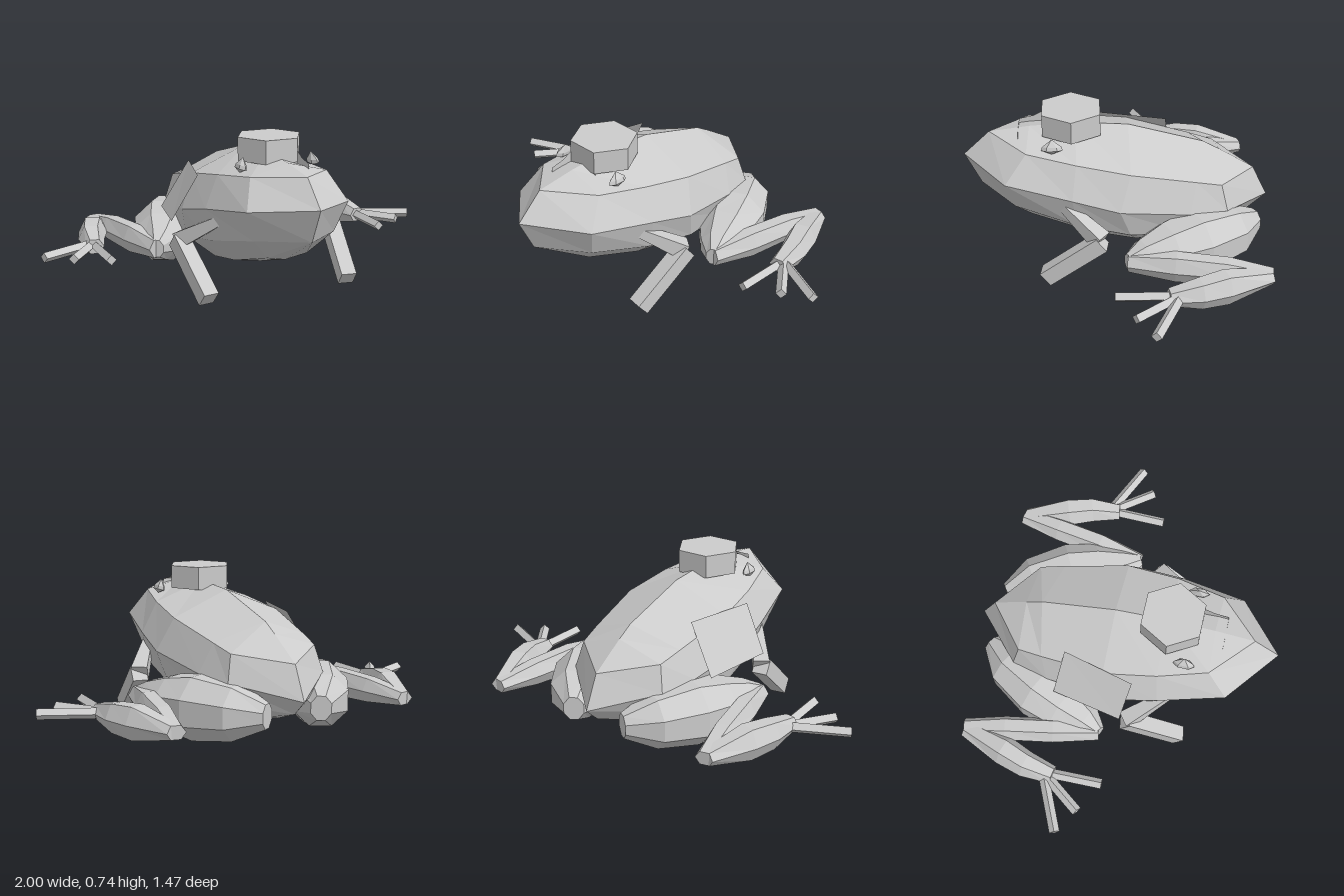
import * as THREE from 'three';

const mat = new THREE.MeshStandardMaterial({ color: 0xcccccc, flatShading: true });
const thinMat = new THREE.MeshStandardMaterial({ color: 0xcccccc, flatShading: true, side: THREE.DoubleSide });

// Skin a list of equal-sized rings (Vector3 arrays, counter-clockwise about the direction of travel)
function loft(rings) {
  const pos = [];
  const tri = (...pts) => pts.forEach((p) => pos.push(p.x, p.y, p.z));
  const n = rings[0].length;
  for (let k = 0; k < rings.length - 1; k++) {
    const a = rings[k], b = rings[k + 1];
    for (let i = 0; i < n; i++) {
      const j = (i + 1) % n;
      tri(a[i], a[j], b[j]);
      tri(a[i], b[j], b[i]);
    }
  }
  const first = rings[0], last = rings[rings.length - 1];
  for (let i = 1; i < n - 1; i++) {
    tri(first[0], first[i + 1], first[i]);
    tri(last[0], last[i], last[i + 1]);
  }
  const g = new THREE.BufferGeometry();
  g.setAttribute('position', new THREE.Float32BufferAttribute(pos, 3));
  g.computeVertexNormals();
  return g;
}

// Limb along stations [x, y, z, half width, half height]; s mirrors it in x
function limb(stations, sides, s, phase = 0) {
  const c = stations.map(([x, y, z]) => new THREE.Vector3(x * s, y, z));
  const up = new THREE.Vector3(0, 1, 0);
  return loft(c.map((p, k) => {
    const d = c[Math.min(k + 1, c.length - 1)].clone().sub(c[Math.max(k - 1, 0)]).normalize();
    const u = up.clone().cross(d).normalize();
    const v = d.clone().cross(u);
    const [, , , w, h] = stations[k];
    return Array.from({ length: sides }, (_, i) => {
      const t = phase + (i / sides) * Math.PI * 2;
      return p.clone().addScaledVector(u, w * Math.cos(t)).addScaledVector(v, h * Math.sin(t));
    });
  }));
}

// Half section (top, upper side, flank, lower side, belly edge, belly) mirrored to a full ring
function bodyRing(half) {
  const right = half.map((p) => new THREE.Vector3(...p));
  const left = half.slice(1, -1).reverse().map(([x, y, z]) => new THREE.Vector3(-x, y, z));
  return [...right, ...left];
}

export function createModel() {
  const root = new THREE.Group();
  root.name = 'frog';
  const add = (name, geometry, parent = root, material = mat) => {
    const m = new THREE.Mesh(geometry, material);
    m.name = name;
    parent.add(m);
    return m;
  };

  // Body, from wedge-shaped snout to wedge-shaped rump
  add('body', loft([
    [[0, .63, .61], [0, .63, .61], [0, .51, .735], [0, .35, .66], [0, .35, .66], [0, .35, .66]],
    [[0, .655, .42], [.19, .61, .43], [.25, .48, .53], [.2, .335, .49], [.1, .225, .42], [0, .2, .4]],
    [[0, .67, .2], [.25, .58, .2], [.32, .43, .22], [.28, .27, .2], [.14, .14, .14], [0, .115, .13]],
    [[0, .655, -.05], [.28, .54, -.05], [.35, .38, 0], [.31, .23, -.05], [.15, .1, -.08], [0, .08, -.08]],
    [[0, .555, -.41], [.24, .47, -.36], [.3, .33, -.33], [.26, .2, -.33], [.14, .11, -.35], [0, .09, -.35]],
    [[0, .51, -.49], [.22, .44, -.48], [.25, .315, -.51], [.2, .21, -.5], [.1, .145, -.52], [0, .13, -.52]],
    [[0, .405, -.66], [0, .405, -.66], [0, .25, -.735], [0, .18, -.66], [0, .18, -.66], [0, .18, -.66]],
  ].map(bodyRing)));

  // Cap with a low brim that flares onto the head
  const cap = new THREE.Group();
  cap.name = 'cap';
  root.add(cap);
  const crown = add('crown', new THREE.CylinderGeometry(.157, .157, .11, 6).rotateY(Math.PI / 6), cap);
  crown.position.set(0, .695, .22);
  const brim = (z, w, y) => [[w, .62], [w, y], [-w, y], [-w, .62]]
    .map(([x, yy]) => new THREE.Vector3(x, yy, z));
  add('brim', loft([brim(.47, .08, .652), brim(.4, .08, .668), brim(.35, .08, .695)]), cap);

  // Patch lying on the right flank
  const a = [-.22, .56, -.245], b = [-.305, .56, .095], c = [-.425, .345, .06], d = [-.355, .33, -.28];
  const flap = new THREE.BufferGeometry();
  flap.setAttribute('position', new THREE.Float32BufferAttribute([a, b, c, a, c, d].flat(), 3));
  flap.computeVertexNormals();
  add('flankPatch', flap, root, thinMat);

  for (const s of [1, -1]) {
    const side = s > 0 ? 'left' : 'right';

    // Small pointed eye, leaning in towards the cap
    const eye = add(side + 'Eye', new THREE.LatheGeometry(
      [[0, -.03], [.05, -.012], [.045, .005], [0, .04]].map(([x, y]) => new THREE.Vector2(x, y)), 6));
    eye.scale.x = .45;
    eye.rotation.z = .25 * s;
    eye.position.set(.18 * s, .636, .31);

    // Front leg: upper arm and forearm
    const front = new THREE.Group();
    front.name = side + 'FrontLeg';
    root.add(front);
    add('upperArm', limb([[.26, .385, .27, .03, .03], [.395, .26, .09, .055, .055]], 4, s, Math.PI / 4), front);
    add('forearm', limb([[.4, .262, .085, .053, .055], [.358, .043, .35, .053, .055]], 4, s, Math.PI / 4), front);

    // Hind leg: thigh, shin folded back, foot folded forward
    const hind = new THREE.Group();
    hind.name = side + 'HindLeg';
    root.add(hind);
    add('thigh', limb([
      [.14, .19, -.66, .05, .06], [.22, .19, -.54, .135, .13], [.31, .187, -.36, .165, .157],
      [.375, .187, -.22, .14, .13], [.43, .19, -.1, .085, .085], [.47, .19, -.03, .035, .045],
    ], 8, s, Math.PI / 8), hind);
    add('shin', limb([
      [.46, .19, -.035, .05, .05], [.51, .19, -.25, .06, .075], [.55, .19, -.48, .06, .065], [.59, .185, -.68, .045, .035],
    ], 6, s), hind);
    add('foot', limb([
      [.59, .185, -.67, .045, .035], [.66, .185, -.46, .072, .085], [.702, .185, -.34, .065, .075],
      [.725, .185, -.2, .045, .04],
    ], 6, s), hind);

    // Toes, diamond in section
    [[.99, -.125], [.87, -.045], [.715, .04]].forEach(([x, z], i) => {
      add('toe' + (i + 1), limb([[.72, .185, -.25, .025, .025], [x, .185, z, .025, .025]], 4, s), hind);
    });
  }
  return root;
}
